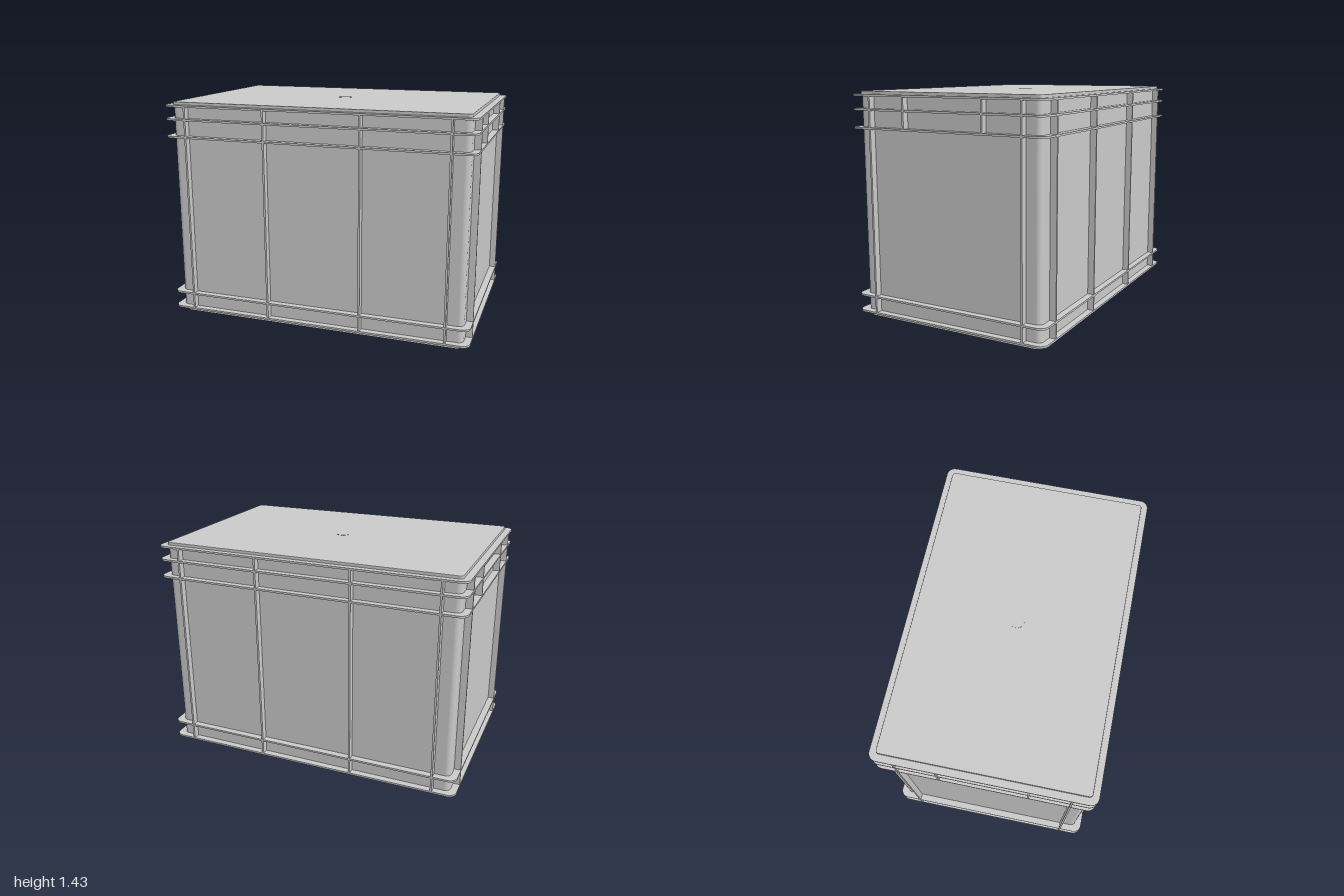
import * as THREE from 'three';

const material = new THREE.MeshStandardMaterial({ color: 0xcccccc });
const HX = 1, HZ = 0.665;          // outer half sizes
const WX = 0.957, WZ = 0.623;      // recessed wall half sizes
const Y0 = 0.035, Y1 = 1.407;      // underside of bottom rib, top of rim
const RIB = 0.012;

// Rectangle with rounded corners, in plan
function roundedRect(hx, hz, r) {
  const s = new THREE.Shape();
  s.moveTo(hx, -hz + r);
  s.absarc(hx - r, hz - r, r, 0, Math.PI / 2);
  s.absarc(-hx + r, hz - r, r, Math.PI / 2, Math.PI);
  s.absarc(-hx + r, -hz + r, r, Math.PI, Math.PI * 1.5);
  s.absarc(hx - r, -hz + r, r, Math.PI * 1.5, Math.PI * 2);
  return s;
}

// Horizontal slab between two heights, with an optional softened edge
function slab(name, hx, hz, r, y0, y1, bevel = 0) {
  const g = new THREE.ExtrudeGeometry(roundedRect(hx - bevel, hz - bevel, r - bevel), {
    depth: y1 - y0 - 2 * bevel, curveSegments: 8, bevelEnabled: bevel > 0,
    bevelSize: bevel, bevelThickness: bevel, bevelSegments: 2,
  });
  g.rotateX(-Math.PI / 2);
  g.translate(0, y0 + bevel, 0);
  const m = new THREE.Mesh(g, material);
  m.name = name;
  return m;
}

function box(name, w, h, d, x, y, z) {
  const m = new THREE.Mesh(new THREE.BoxGeometry(w, h, d), material);
  m.position.set(x, y, z);
  m.name = name;
  return m;
}

export function createModel() {
  const model = new THREE.Group();
  model.name = 'storageBox';

  // Base foot, recessed walls and raised lid panel
  model.add(slab('baseFoot', 0.95, 0.618, 0.045, 0, Y0 + 0.005, 0.006));
  model.add(slab('walls', WX, WZ, 0.035, Y0, Y1 - 0.002));
  model.add(slab('lidPanel', 0.956, 0.625, 0.02, Y1 - 0.005, 1.425, 0.003));

  // Horizontal ribs running all the way round
  const bands = new THREE.Group();
  bands.name = 'horizontalRibs';
  for (const y of [Y0, 0.14, 1.197, 1.309, Y1 - RIB]) {
    bands.add(slab('horizontalRib', HX, HZ, 0.05, y, y + RIB));
  }
  model.add(bands);

  // Vertical ribs on the long and short sides
  const ribs = new THREE.Group();
  ribs.name = 'verticalRibs';
  const h = Y1 - Y0 - 0.004, mid = (Y0 + Y1) / 2;
  const dx = HX - WX + 0.01, dz = HZ - WZ + 0.01;
  for (const side of [-1, 1]) {
    for (const x of [-0.85, -0.31, 0.31, 0.85]) {
      ribs.add(box('longSideRib', RIB, h, dz, x, mid, side * (HZ - 0.001 - dz / 2)));
    }
    for (const z of [-0.52, 0.52]) {
      ribs.add(box('shortSideRib', dx, h, RIB, side * (HX - 0.001 - dx / 2), mid, z));
    }
    for (const z of [-0.27, 0.27]) {
      ribs.add(box('upperShortRib', dx, Y1 - 1.203, RIB,
        side * (HX - 0.001 - dx / 2), (Y1 + 1.199) / 2, z));
    }
  }
  model.add(ribs);

  // Small moulding mark in the middle of the lid
  const mark = new THREE.Mesh(new THREE.CylinderGeometry(0.045, 0.045, 0.004, 32), material);
  mark.position.y = 1.4245;
  mark.name = 'mouldingMark';
  model.add(mark);

  return model;
}
